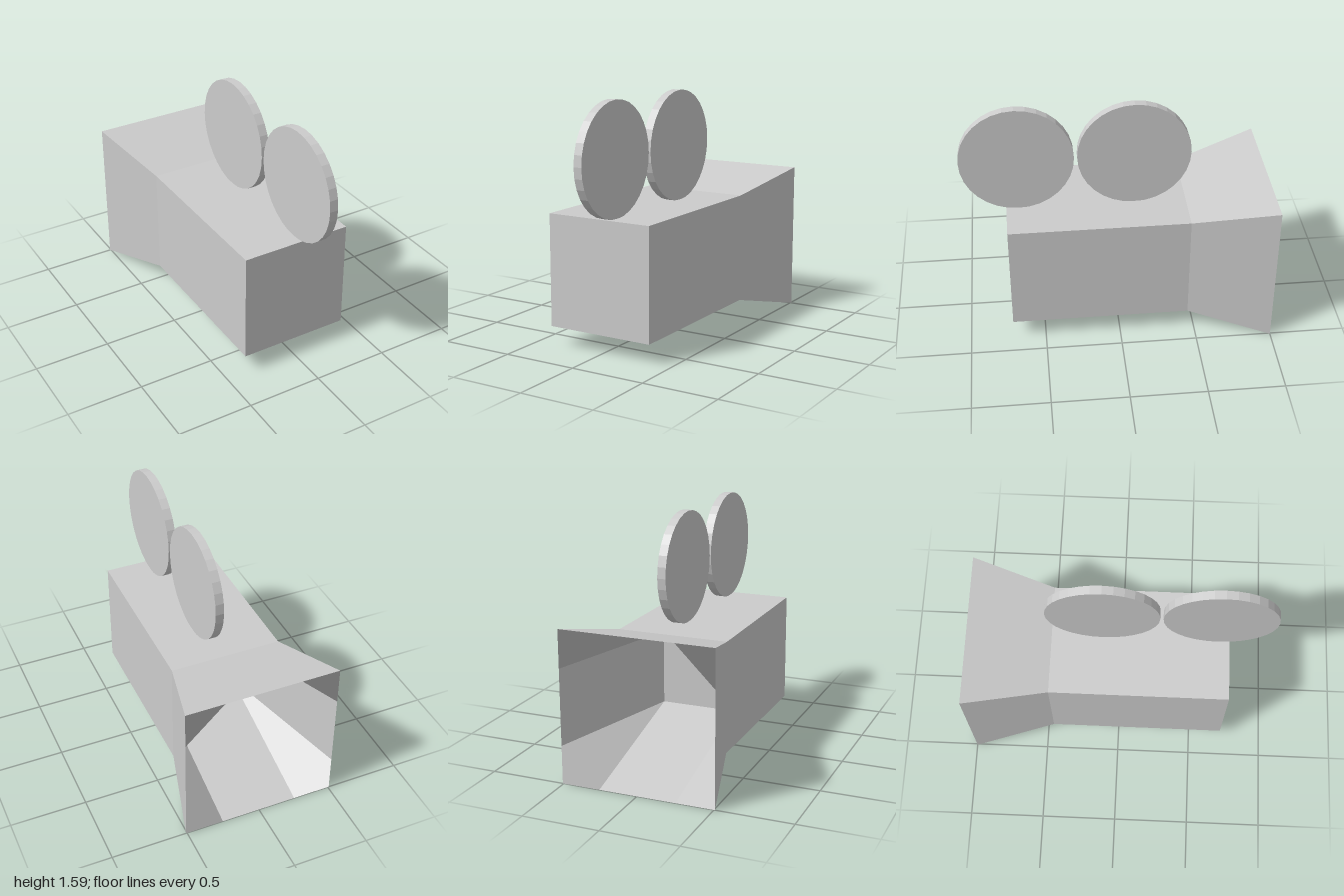
import * as THREE from 'three';

const material = new THREE.MeshStandardMaterial({ color: 0xcccccc });
const MID = 0.5; // height of the body's axis

// Four corners of a rectangle at depth z, counter-clockwise from the front
const ring = (z, hx, hy) =>
  [[1, 1], [-1, 1], [-1, -1], [1, -1]].map(([sx, sy]) => new THREE.Vector3(sx * hx, MID + sy * hy, z));

// Each quad a-b-c-d is split along a-c and shares one flat normal
function quadGeometry(quads) {
  const position = [], normal = [];
  for (const [a, b, c, d] of quads) {
    const n = c.clone().sub(a).cross(d.clone().sub(b)).normalize();
    for (const v of [a, b, c, a, c, d]) {
      position.push(...v.toArray());
      normal.push(...n.toArray());
    }
  }
  const geo = new THREE.BufferGeometry();
  geo.setAttribute('position', new THREE.Float32BufferAttribute(position, 3));
  geo.setAttribute('normal', new THREE.Float32BufferAttribute(normal, 3));
  return geo;
}

export function createModel() {
  const model = new THREE.Group();
  const add = (name, geo) => {
    const mesh = new THREE.Mesh(geo, material);
    mesh.name = name;
    model.add(mesh);
    return mesh;
  };

  const rim = ring(-1, 0.507, 0.498);
  const neck = ring(-0.455, 0.367, 0.367);
  const front = ring(0.715, 0.367, 0.367);
  const recess = ring(-0.02, 0.254, 0.249);
  const body = [front], horn = [], inside = [[...recess].reverse()];

  for (let k = 0; k < 4; k++) {
    const next = (k + 1) % 4, prev = (k + 3) % 4;
    // Outer walls of the body and of the flare
    body.push([neck[k], neck[next], front[next], front[k]]);
    horn.push([rim[k], rim[next], neck[next], neck[k]]);
    // Recess: a flat wall from the middle half of each rim edge
    const start = rim[k].clone().lerp(rim[next], 0.25);
    const end = rim[k].clone().lerp(rim[next], 0.75);
    inside.push([start, recess[k], recess[next], end]);
    // Recess: a folded corner piece between two walls
    const side = rim[k].clone().lerp(rim[prev], 0.25);
    inside.push([side, recess[k], start, rim[k]]);
  }
  add('body', quadGeometry(body));
  add('flaredHood', quadGeometry(horn));
  add('hoodRecess', quadGeometry(inside));

  // Two reels standing on the body, slightly off centre
  const reel = new THREE.CylinderGeometry(0.366, 0.366, 0.056, 32).toNonIndexed();
  reel.rotateZ(Math.PI / 2);
  reel.computeVertexNormals();
  [['frontReel', 0.634], ['rearReel', -0.118]].forEach(([name, z]) =>
    add(name, reel).position.set(0.058, 1.23, z));

  return model;
}
